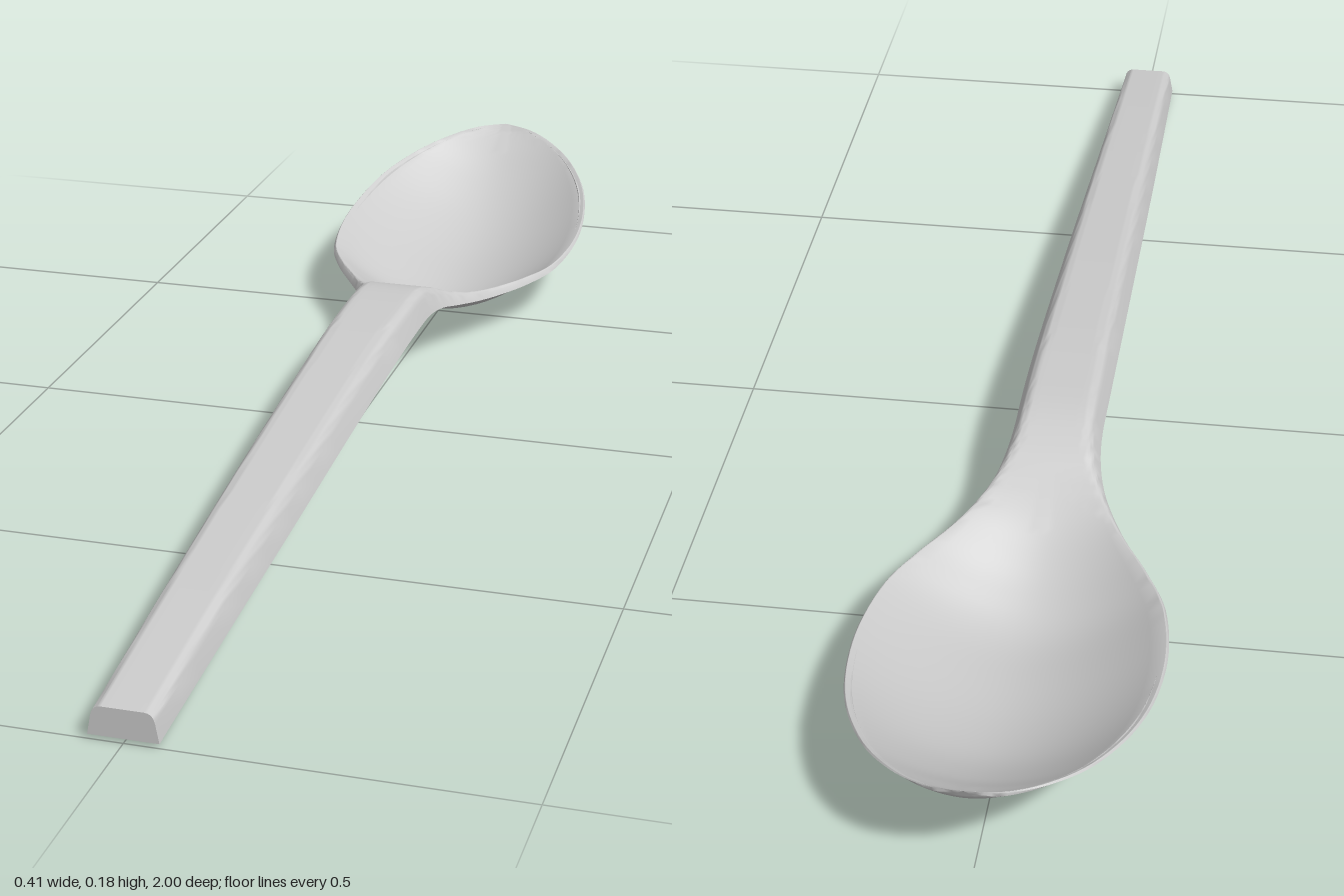
import * as THREE from 'three';
import { toCreasedNormals } from 'three/addons/utils/BufferGeometryUtils.js';

// Stations from handle end to bowl tip:
// z, skirt half width, shoulder half width, shoulder y, skirt bottom y, centre y
const STATIONS = [
  [1.0, 0.045, 0.038, 0.045, 0.006, 0.045],
  [0.75, 0.051, 0.040, 0.076, 0.035, 0.076],
  [0.5, 0.056, 0.043, 0.103, 0.061, 0.103],
  [0.25, 0.060, 0.045, 0.128, 0.086, 0.128],
  [0.03, 0.063, 0.047, 0.147, 0.105, 0.147],
  [-0.1, 0.064, 0.049, 0.152, 0.111, 0.152],
  [-0.19, 0.064, 0.050, 0.150, 0.109, 0.150],
  [-0.25, 0.069, 0.055, 0.134, 0.101, 0.134],
  [-0.3, 0.081, 0.070, 0.112, 0.089, 0.111],
  [-0.35, 0.102, 0.094, 0.096, 0.080, 0.085],
  [-0.4, 0.128, 0.121, 0.090, 0.076, 0.056],
  [-0.46, 0.162, 0.156, 0.089, 0.077, 0.028],
  [-0.53, 0.191, 0.187, 0.091, 0.082, 0.010],
  [-0.63, 0.205, 0.202, 0.100, 0.094, 0.020],
  [-0.73, 0.200, 0.198, 0.114, 0.109, 0.036],
  [-0.82, 0.180, 0.178, 0.133, 0.129, 0.063],
  [-0.9, 0.143, 0.141, 0.151, 0.147, 0.106],
  [-0.955, 0.098, 0.096, 0.166, 0.163, 0.146],
  [-0.988, 0.051, 0.050, 0.177, 0.175, 0.170],
  [-1.0, 0.002, 0.0018, 0.183, 0.182, 0.183],
];
const STEPS = 5;   // rings per station gap
const ACROSS = 20; // divisions across the top

// Catmull-Rom blend of whole stations
function stationAt(i, t) {
  const last = STATIONS.length - 1;
  const row = (k) => STATIONS[Math.min(Math.max(k, 0), last)];
  const [a, b, c, d] = [row(i - 1), row(i), row(i + 1), row(i + 2)];
  return b.map((_, k) => {
    const m0 = (c[k] - a[k]) / 2, m1 = (d[k] - b[k]) / 2;
    return b[k] + m0 * t + (3 * (c[k] - b[k]) - 2 * m0 - m1) * t * t
      + (2 * (b[k] - c[k]) + m0 + m1) * t * t * t;
  });
}

// Upper outline: skirt, rounded shoulder, dished or flat top, mirrored
function upperOutline([, wb, wt, yr, yb, yc]) {
  const h = yr - yb;
  const r = Math.min(0.3 * h, 0.3 * wt);
  const topY = (x) => yc + (yr - yc) * Math.pow(Math.abs(x) / wt, 1.9);
  const inner = wt - r;
  const bend = new THREE.QuadraticBezierCurve(
    new THREE.Vector2(wt + (wb - wt) * 0.35, yr - h * 0.35),
    new THREE.Vector2(wt, yr),
    new THREE.Vector2(inner, topY(inner)),
  ).getPoints(5);
  const right = [new THREE.Vector2(wb, yb), ...bend];
  const left = right.map((p) => new THREE.Vector2(-p.x, p.y));
  const middle = [];
  for (let k = 1; k < ACROSS; k++) {
    const x = inner * (2 * k / ACROSS - 1);
    middle.push(new THREE.Vector2(x, topY(x)));
  }
  return [...left, ...middle, ...right.reverse()];
}

// Underside: the same form set in by the wall thickness, right to left
function lowerOutline([, wb, wt, yr, yb, yc]) {
  const t = Math.min(0.01, 0.2 * wt);
  const w = wt - t;
  const pts = [new THREE.Vector2(wb - t, yb)];
  for (let k = 0; k <= ACROSS; k++) {
    const s = 1 - 2 * k / ACROSS;
    pts.push(new THREE.Vector2(w * s, yc - t + (yr - yc) * Math.pow(Math.abs(s), 1.9)));
  }
  pts.push(new THREE.Vector2(t - wb, yb));
  return pts;
}

// Thin shell lofted through all sections
function shellGeometry() {
  const positions = [], index = [];
  const rings = [];
  for (let i = 0; i < STATIONS.length - 1; i++)
    for (let k = 0; k < STEPS; k++) rings.push(stationAt(i, k / STEPS));
  rings.push(STATIONS[STATIONS.length - 1]);
  let n = 0;
  rings.forEach((s) => {
    const loop = [...upperOutline(s), ...lowerOutline(s)];
    n = loop.length;
    loop.forEach((p) => positions.push(p.x, p.y, s[0]));
  });
  for (let i = 0; i < rings.length - 1; i++) {
    for (let j = 0; j < n; j++) {
      const a = i * n + j, b = i * n + (j + 1) % n;
      index.push(a, b, b + n, a, b + n, a + n);
    }
  }
  const geo = new THREE.BufferGeometry();
  geo.setAttribute('position', new THREE.Float32BufferAttribute(positions, 3));
  geo.setIndex(index);
  return toCreasedNormals(geo, 0.7);
}

export function createModel() {
  const group = new THREE.Group();
  group.name = 'spoon';
  const material = new THREE.MeshStandardMaterial({ color: 0xcccccc, side: THREE.DoubleSide });

  // Bowl and hollow handle in one moulded shell
  const shell = new THREE.Mesh(shellGeometry(), material);
  shell.name = 'bowlAndHandle';
  group.add(shell);

  // Wall closing the handle's end
  const wall = new THREE.ExtrudeGeometry(new THREE.Shape(upperOutline(STATIONS[0])), {
    depth: 0.012, bevelEnabled: false,
  });
  const endWall = new THREE.Mesh(wall, material);
  endWall.name = 'handleEndWall';
  endWall.position.z = 0.988;
  group.add(endWall);

  return group;
}
